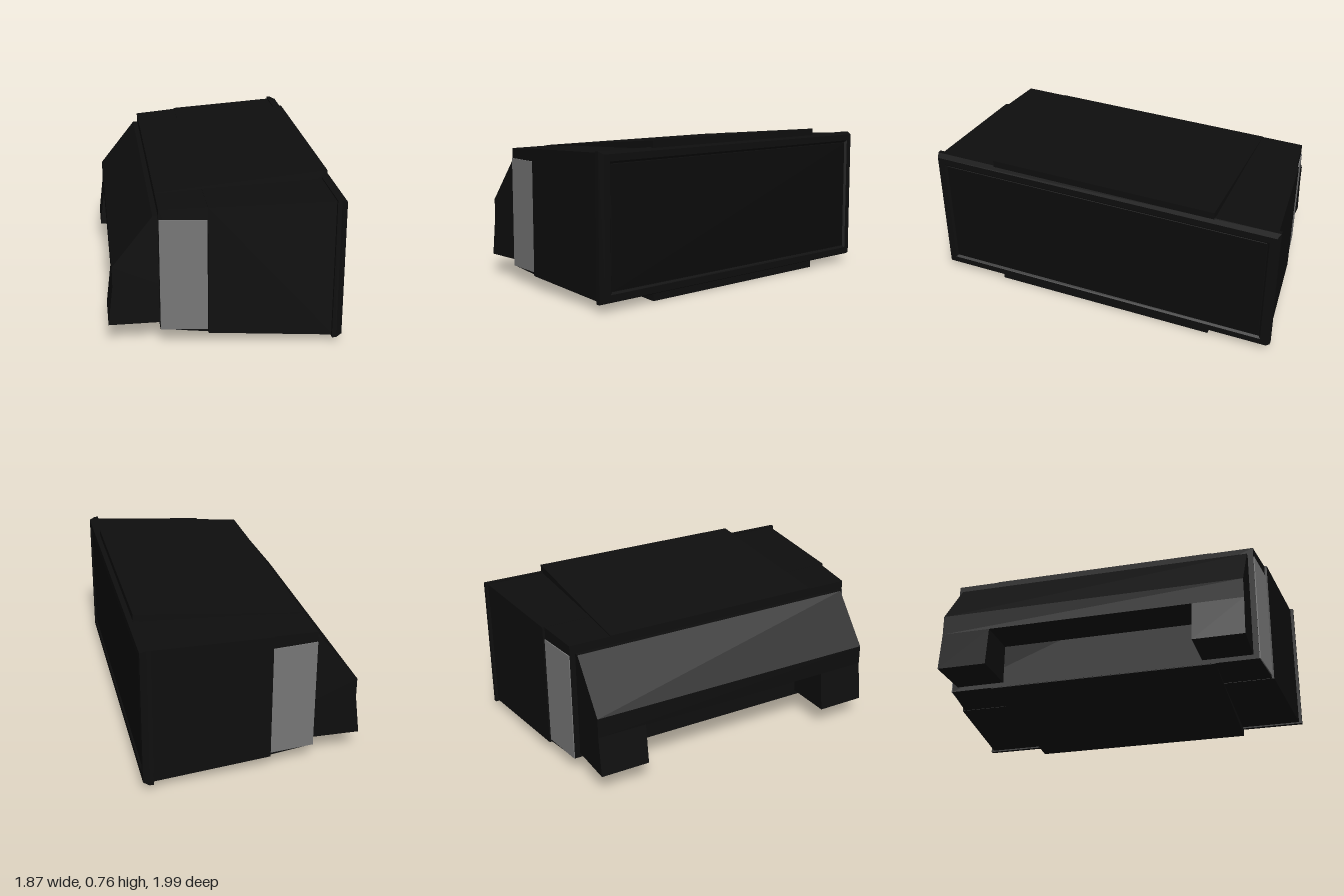
import * as THREE from 'three';

const mat = (name, color) => {
  const m = new THREE.MeshStandardMaterial({ color });
  m.name = name;
  return m;
};

// Closed loft through rectangles [z, halfWidth, yLow, yHigh], listed back to front
function loft(sections) {
  const ring = ([z, w, a, b]) => [[-w, a, z], [w, a, z], [w, b, z], [-w, b, z]];
  const rings = sections.map(ring);
  const pos = [];
  const quad = (a, b, c, d) => [a, b, c, a, c, d].forEach((p) => pos.push(...p));
  for (let k = 0; k + 1 < rings.length; k++) {
    for (let i = 0; i < 4; i++) {
      const j = (i + 1) % 4;
      quad(rings[k][i], rings[k][j], rings[k + 1][j], rings[k + 1][i]);
    }
  }
  quad(...rings[0].slice().reverse());
  quad(...rings[rings.length - 1]);
  const g = new THREE.BufferGeometry();
  g.setAttribute('position', new THREE.Float32BufferAttribute(pos, 3));
  g.computeVertexNormals();
  return g;
}

// Side profile of [z, y] points extruded across the width from x0 to x1
function prism(points, x0, x1) {
  const shape = new THREE.Shape(points.map(([z, y]) => new THREE.Vector2(z, y)));
  const g = new THREE.ExtrudeGeometry(shape, { depth: x1 - x0, bevelEnabled: false });
  g.translate(0, 0, -x1);
  g.rotateY(-Math.PI / 2);
  return g;
}

export function createModel() {
  const casing = mat('black casing', 0x0e0e0e);
  const glass = mat('dark screen', 0x0b0b0b);
  const grey = mat('grey panel', 0x777777);

  const model = new THREE.Group();
  model.name = 'television';
  const set = new THREE.Group();
  set.name = 'set';
  model.add(set);
  const add = (name, geometry, material) => {
    const mesh = new THREE.Mesh(geometry, material);
    mesh.name = name;
    set.add(mesh);
  };

  // Tapering cabinet, slightly stepped in towards the rear
  add('cabinet', loft([
    [-0.375, 0.795, 0.077, 0.688],
    [-0.15, 0.822, 0.064, 0.7],
    [-0.15, 0.834, 0.062, 0.702],
    [0.445, 0.89, 0.04, 0.725],
  ]), casing);

  // Grey side panels near the rear
  add('sidePanels', loft([
    [-0.374, 0.8, 0.078, 0.637],
    [-0.152, 0.827, 0.078, 0.637],
  ]), grey);

  // Bevelled front frame with a shallow recess for the screen
  add('frontFrame', loft([
    [0.435, 0.905, 0.033, 0.732],
    [0.455, 0.905, 0.033, 0.732],
    [0.484, 0.893, 0.045, 0.72],
    [0.484, 0.86, 0.078, 0.687],
    [0.474, 0.85, 0.088, 0.677],
  ]), casing);
  add('screen', loft([
    [0.47, 0.849, 0.089, 0.676],
    [0.477, 0.846, 0.092, 0.673],
  ]), glass);

  // Raised wedge running over the top and under the base
  add('centreWedge', prism([
    [-0.374, 0.074], [-0.3, 0.068], [0.462, 0], [0.462, 0.765], [-0.3, 0.697], [-0.374, 0.691],
  ], -0.582, 0.582), casing);

  // Sloping rear housing
  add('rearHousing', prism([
    [-0.37, 0.3], [-0.37, 0.645], [-0.4, 0.645], [-0.595, 0.4], [-0.595, 0.3],
  ], -0.767, 0.767), casing);

  // Rear feet either side of the connector recess
  for (const [name, x0, x1] of [['leftFoot', 0.516, 0.767], ['rightFoot', -0.767, -0.516]]) {
    add(name, prism([
      [-0.37, 0.1], [-0.37, 0.3], [-0.595, 0.3], [-0.62, 0.1],
    ], x0, x1), casing);
  }

  // The set stands turned towards its left
  set.rotation.y = 0.944;
  set.position.set(0.013, 0, -0.018);
  return model;
}
